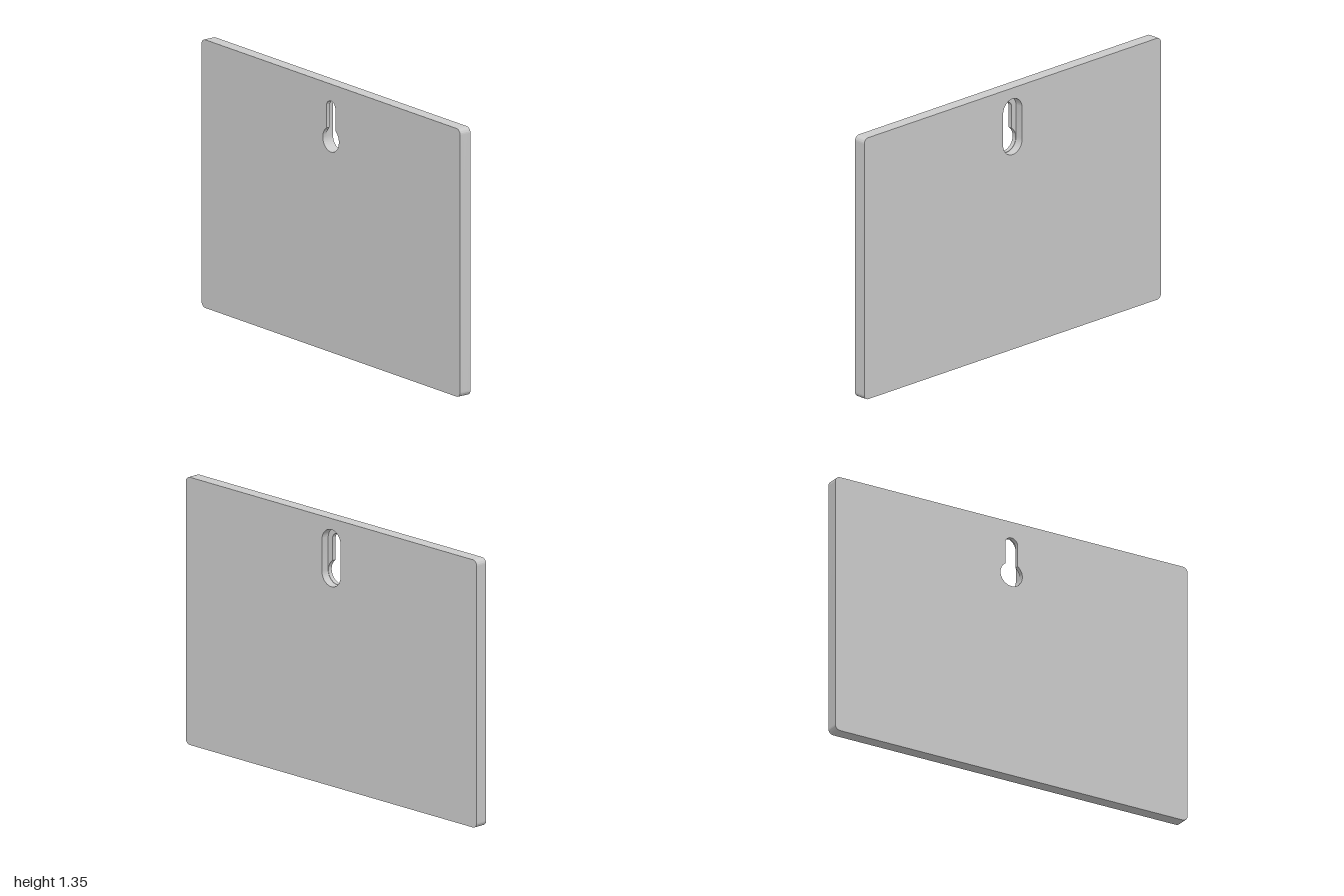
import * as THREE from 'three';
import { toCreasedNormals } from 'three/addons/utils/BufferGeometryUtils.js';

const W = 2, H = 1.35, T = 0.064, R = 0.027; // plate size and corner radius
const LIP = 0.022;                           // thickness left in front of the pocket
const LOW = 1.07, HIGH = 1.23;               // centres of the keyhole's ends
const HEAD = 0.062, SLOT = 0.035, POCKET = 0.064;

function plateOutline() {
  const s = new THREE.Shape();
  const x = W / 2 - R, top = H - R;
  s.absarc(x, R, R, -Math.PI / 2, 0);
  s.absarc(x, top, R, 0, Math.PI / 2);
  s.absarc(-x, top, R, Math.PI / 2, Math.PI);
  s.absarc(-x, R, R, Math.PI, Math.PI * 1.5);
  s.closePath();
  return s;
}

// Slot with a round top, and a round bottom that may be wider
function keyhole(bottomRadius, slotRadius) {
  const a = Math.acos(slotRadius / bottomRadius);
  const p = new THREE.Path();
  p.absarc(0, HIGH, slotRadius, 0, Math.PI);
  p.absarc(0, LOW, bottomRadius, Math.PI - a, Math.PI * 2 + a);
  p.closePath();
  return p;
}

function layer(name, hole, z, depth, material) {
  const shape = plateOutline();
  shape.holes.push(hole);
  const geometry = new THREE.ExtrudeGeometry(shape, { depth, bevelEnabled: false, curveSegments: 24 });
  const mesh = new THREE.Mesh(toCreasedNormals(geometry, 0.6), material);
  mesh.name = name;
  mesh.position.z = z;
  return mesh;
}

export function createModel() {
  const group = new THREE.Group();
  group.name = 'hangingPlate';
  const material = new THREE.MeshStandardMaterial({ color: 0xcccccc });

  // Front layer with the keyhole, back layer with the pocket for the screw head
  group.add(layer('frontLayer', keyhole(HEAD, SLOT), T / 2 - LIP, LIP, material));
  group.add(layer('backLayer', keyhole(POCKET, POCKET), -T / 2, T - LIP, material));
  return group;
}
